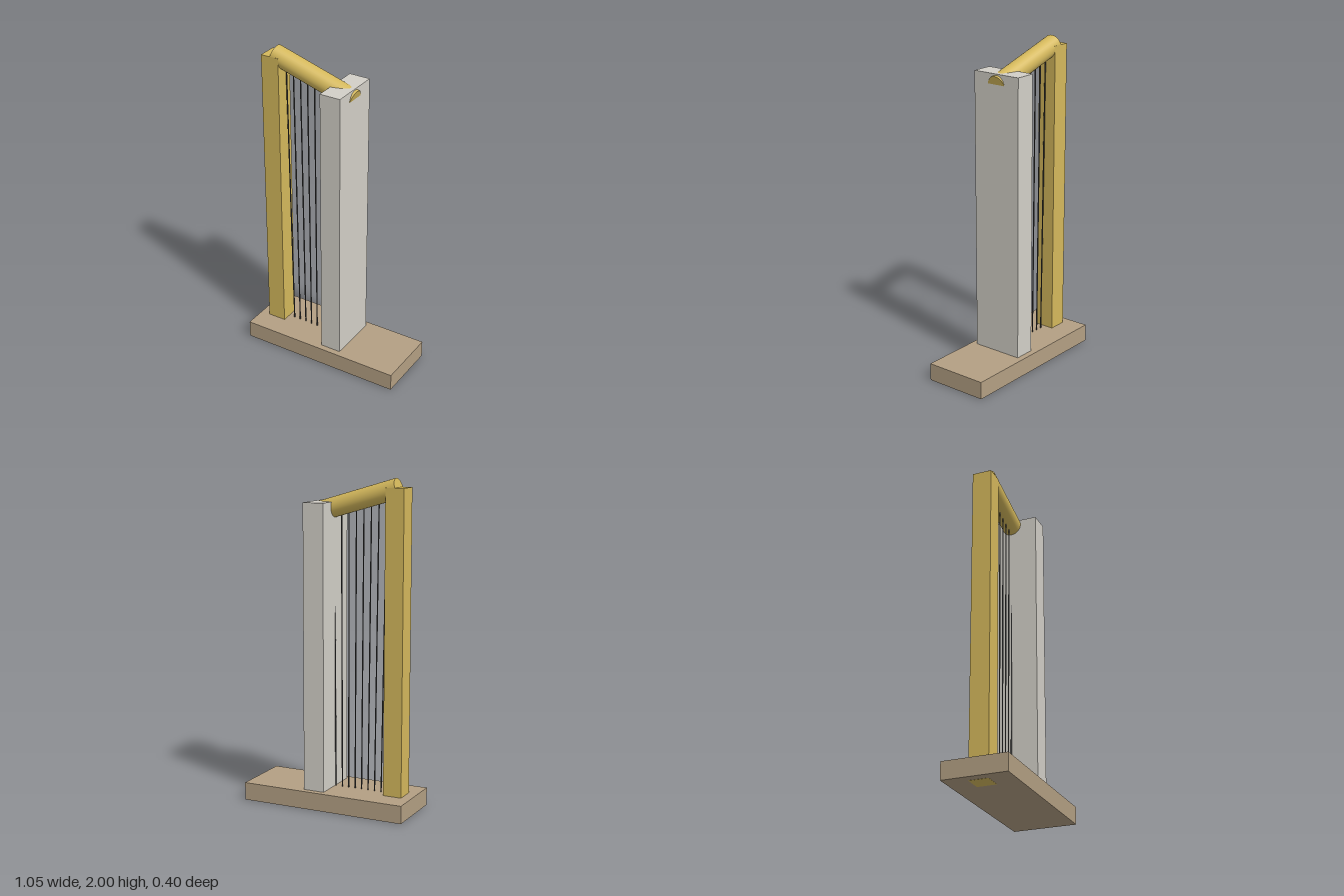
import * as THREE from 'three';

const material = (color) => new THREE.MeshStandardMaterial({ color });

export function createModel() {
  const model = new THREE.Group();
  const wood = material(0xb39f83);
  const gold = material(0xd4b85c);
  const pale = material(0xd2cfc7);
  const dark = material(0x444444);

  // Box given by its lower and upper corners
  const box = (name, mat, [x0, y0, z0], [x1, y1, z1]) => {
    const mesh = new THREE.Mesh(new THREE.BoxGeometry(x1 - x0, y1 - y0, z1 - z0), mat);
    mesh.position.set((x0 + x1) / 2, (y0 + y1) / 2, (z0 + z1) / 2);
    mesh.name = name;
    model.add(mesh);
  };

  // Round rod between two points in the plane z = 0
  const rod = (name, mat, radius, sides, [x0, y0], [x1, y1]) => {
    const a = new THREE.Vector3(x0, y0, 0);
    const b = new THREE.Vector3(x1, y1, 0);
    const mesh = new THREE.Mesh(new THREE.CylinderGeometry(radius, radius, a.distanceTo(b), sides), mat);
    mesh.position.copy(a).lerp(b, 0.5);
    mesh.quaternion.setFromUnitVectors(new THREE.Vector3(0, 1, 0), b.clone().sub(a).normalize());
    mesh.name = name;
    model.add(mesh);
  };

  // Base, with the column's foot showing on its underside
  box('base', wood, [-0.525, 0.001, -0.2], [0.525, 0.11, 0.2]);
  box('column', gold, [-0.465, 0, -0.06], [-0.348, 1.945, 0.06]);
  box('soundBox', pale, [0, 0.05, -0.162], [0.133, 1.852, 0.162]);

  // Sloping neck resting in the column and the sound box
  const neckLeft = [-0.407, 1.942];
  const neckRight = [0.131, 1.782];
  rod('neck', gold, 0.06, 32, neckLeft, neckRight);

  // Strings fan out slightly towards the neck
  const slope = (neckRight[1] - neckLeft[1]) / (neckRight[0] - neckLeft[0]);
  for (let i = 0; i < 8; i++) {
    const top = -0.332 + i * 0.0485;
    const bottom = -0.308 + i * 0.0433;
    rod(`string${i + 1}`, dark, 0.004, 8, [bottom, 0.1], [top, neckLeft[1] + slope * (top - neckLeft[0])]);
  }

  return model;
}
